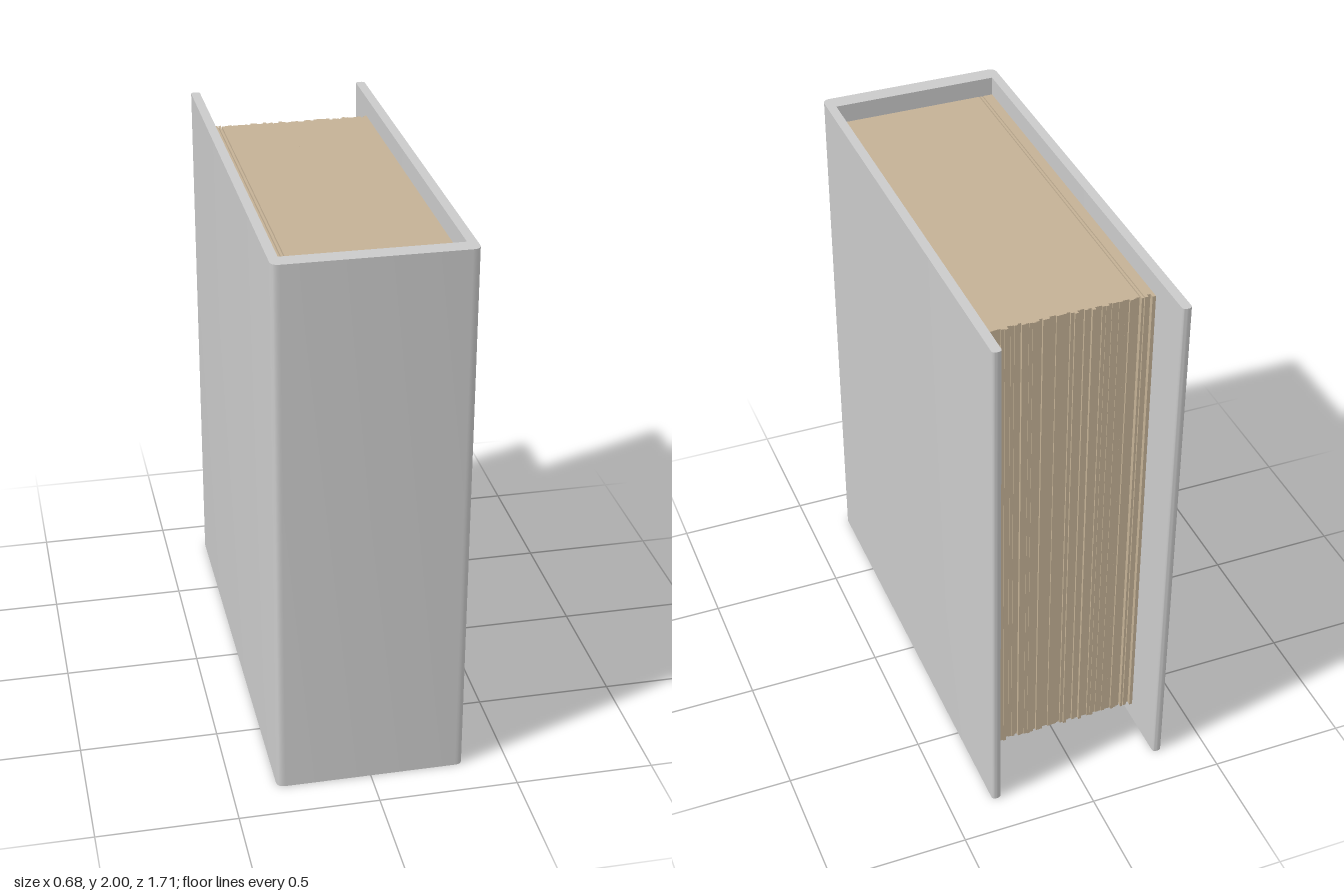
import * as THREE from 'three';
import { toCreasedNormals } from 'three/addons/utils/BufferGeometryUtils.js';

const coverGrey = new THREE.MeshStandardMaterial({ color: 0xcacaca });
const paperTan = new THREE.MeshStandardMaterial({ color: 0xc4b195 });
coverGrey.name = 'coverGrey';
paperTan.name = 'paperTan';

// Polygon with rounded corners; each corner is [x, y, radius]
function roundedShape(corners) {
  const shape = new THREE.Shape();
  const n = corners.length;
  corners.forEach(([x, y, r], i) => {
    const here = new THREE.Vector2(x, y);
    const toward = ([px, py]) =>
      new THREE.Vector2(px - x, py - y).setLength(r).add(here);
    const a = r ? toward(corners[(i + n - 1) % n]) : here;
    const b = r ? toward(corners[(i + 1) % n]) : here;
    if (i === 0) shape.moveTo(a.x, a.y);
    else shape.lineTo(a.x, a.y);
    if (r) shape.quadraticCurveTo(x, y, b.x, b.y);
  });
  shape.closePath();
  return shape;
}

export function createModel() {
  const book = new THREE.Group();
  book.name = 'book';

  // Cover: two boards joined by a spine, a U in plan (shape y is -z)
  const W = 0.339, IN = 0.305, FRONT = -0.855, BACK = 0.857, SPINE = -0.79;
  const plan = roundedShape([
    [-W, FRONT, 0.03], [W, FRONT, 0.03],
    [W, BACK, 0.014], [IN, BACK, 0.014], [IN, SPINE, 0],
    [-IN, SPINE, 0], [-IN, BACK, 0.014], [-W, BACK, 0.014],
  ]);
  const coverGeometry = new THREE.ExtrudeGeometry(plan, {
    depth: 2, bevelEnabled: false, curveSegments: 6,
  });
  coverGeometry.rotateX(-Math.PI / 2);
  const cover = new THREE.Mesh(toCreasedNormals(coverGeometry, 0.6), coverGrey);
  cover.name = 'cover';
  book.add(cover);

  // Pages: thin upright leaves whose free edges are slightly uneven
  const pages = new THREE.Group();
  pages.name = 'pages';
  let seed = 7;
  const random = () => (seed = (seed * 16807) % 2147483647) / 2147483647;
  const addLeaf = (x0, x1) => {
    const back = -0.653 + (random() - 0.5) * 0.018;
    const leaf = new THREE.Mesh(
      new THREE.BoxGeometry(x1 - x0, 1.86, 0.79 - back), paperTan);
    leaf.position.set((x0 + x1) / 2, 1, (0.79 + back) / 2);
    leaf.name = 'leaf';
    pages.add(leaf);
  };
  const addStack = (x0, x1, count) => {
    const t = (x1 - x0) / count;
    for (let i = 0; i < count; i++) addLeaf(x0 + i * t, x0 + (i + 1) * t);
  };
  addStack(-IN, -0.269, 3);
  addLeaf(-0.265, -0.257); // loose leaf between two narrow gaps
  addStack(-0.253, IN, 46);
  book.add(pages);

  return book;
}
